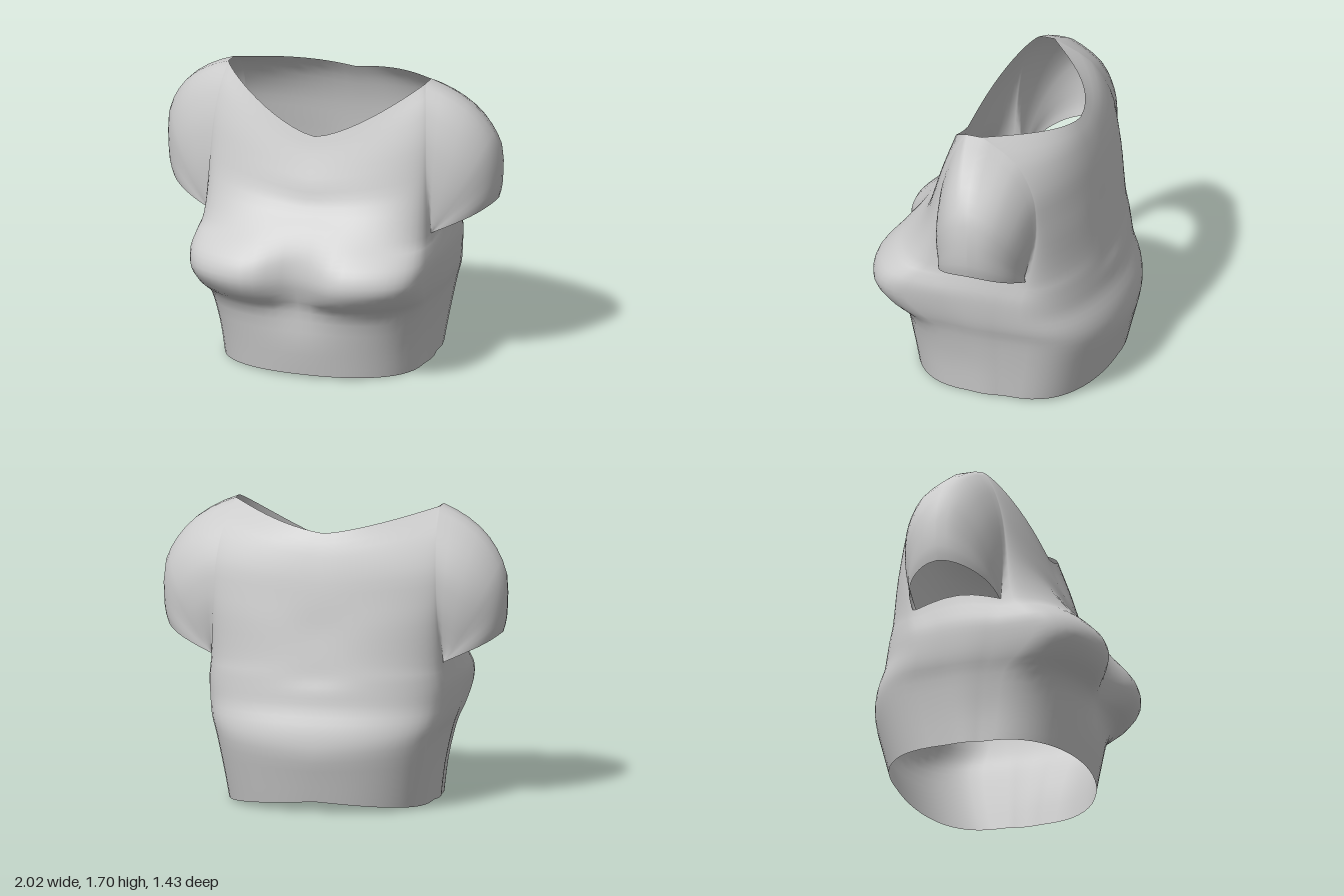
import * as THREE from 'three';
import { mergeVertices } from 'three/addons/utils/BufferGeometryUtils.js';

// Section keys, hem to neckline: centre y, centre z, edge x, edge y, edge z, roundness, cleft depth
const FRONT = [
  [0.02, 0.52, 0.59, 0.005, 0.05, 0.8, 0],
  [0.22, 0.555, 0.61, 0.2, 0.07, 0.78, 0],
  [0.41, 0.595, 0.65, 0.4, 0.1, 0.72, 0.035],
  [0.5, 0.705, 0.68, 0.5, 0.14, 0.56, 0.12],
  [0.6, 0.75, 0.7, 0.6, 0.17, 0.42, 0.14],
  [0.7, 0.725, 0.71, 0.7, 0.19, 0.46, 0.12],
  [0.79, 0.65, 0.695, 0.78, 0.2, 0.58, 0.07],
  [0.89, 0.555, 0.68, 0.85, 0.2, 0.75, 0.035],
  [1.0, 0.43, 0.665, 1.08, 0.215, 1.1, 0.01],
  [1.12, 0.38, 0.655, 1.25, 0.21, 1.4, 0],
  [1.22, 0.34, 0.645, 1.42, 0.185, 1.6, 0],
  [1.31, 0.305, 0.625, 1.59, 0.13, 1.7, 0],
  [1.385, 0.28, 0.6, 1.705, 0.06, 1.5, 0],
];
const BACK = [
  [0.065, -0.64, 0.59, 0.012, -0.15, 0.7, 0],
  [0.2, -0.675, 0.615, 0.2, -0.16, 0.62, 0],
  [0.35, -0.71, 0.65, 0.4, -0.17, 0.58, 0],
  [0.48, -0.695, 0.68, 0.5, -0.18, 0.62, 0],
  [0.6, -0.65, 0.695, 0.6, -0.2, 0.7, 0],
  [0.7, -0.63, 0.7, 0.7, -0.23, 0.78, 0],
  [0.78, -0.615, 0.69, 0.78, -0.27, 0.86, 0.01],
  [0.89, -0.595, 0.68, 0.85, -0.31, 1, 0.01],
  [1.05, -0.565, 0.665, 1.08, -0.37, 1.3, 0.01],
  [1.2, -0.535, 0.655, 1.25, -0.38, 1.6, 0],
  [1.36, -0.505, 0.645, 1.42, -0.35, 1.8, 0],
  [1.5, -0.46, 0.625, 1.59, -0.24, 2, 0],
  [1.59, -0.41, 0.6, 1.705, -0.03, 2.2, 0],
];
const SUB = 3;                 // rows per key
const ARMPIT = 7 * SUB;        // row where the armholes begin
const TOP = (FRONT.length - 1) * SUB;
const ACROSS = 28, SIDE = 6, SLEEVE = 12;

// Catmull-Rom interpolation of whole key rows
function sampleRows(keys) {
  const rows = [];
  for (let r = 0; r <= TOP; r++) {
    const k = Math.min(Math.floor(r / SUB), keys.length - 2), t = r / SUB - k;
    const at = (i) => keys[Math.max(0, Math.min(keys.length - 1, i))];
    rows.push(keys[0].map((_, c) => {
      const a = at(k - 1)[c], b = at(k)[c], d = at(k + 1)[c], e = at(k + 2)[c];
      return b + 0.5 * t * (d - a + t * (2 * a - 5 * b + 4 * d - e + t * (3 * (b - d) + e - a)));
    }));
  }
  return rows;
}

// Point on a front or back panel, s running from -1 to 1 across; sag shapes the neckline
function panelPoint([cy, cz, ex, ey, ez, p, cleft], s, sag) {
  const a = s * Math.PI / 2, sn = Math.sin(a), x = ex * sn;
  const round = Math.abs(s) === 1 ? 0 : Math.pow(Math.cos(a), p);
  const dip = round === 0 ? 0 : cleft * Math.exp(-((x / 0.18) ** 2)) * Math.sign(cz);
  return [x, cy + (ey - cy) * Math.pow(Math.abs(sn), sag), ez + (cz - ez) * round - dip];
}

const edgePoint = (row) => [row[2], row[3], row[4]];
const mix = (a, b, t) => a.map((v, i) => v + (b[i] - v) * t);

// Adds a grid of points as counter-clockwise triangles
function addGrid(out, grid) {
  for (let i = 0; i < grid.length - 1; i++) {
    for (let j = 0; j < grid[i].length - 1; j++) {
      const a = grid[i][j], b = grid[i][j + 1], c = grid[i + 1][j + 1], d = grid[i + 1][j];
      out.push(...a, ...b, ...c, ...a, ...c, ...d);
    }
  }
}

const mirrored = (grid) => grid.map((row) => row.map(([x, y, z]) => [-x, y, z]).reverse());

// Shoulder outline: angle in degrees around the armpit, and its radius
const OUTLINE = [[95.3, 0.859], [86, 0.8], [76, 0.735], [67, 0.665], [58, 0.595], [45, 0.46], [34, 0.385], [26, 0.335]];

// Short sleeve: the armhole arch swung outward and down around the armpit
function sleeveGrid(front, back) {
  const arch = [];
  for (let r = ARMPIT; r <= TOP; r++) arch.push([...edgePoint(front[r]), 1]);
  for (let r = TOP; r >= ARMPIT; r--) arch.push([...edgePoint(back[r]), -1]);
  const [px, py] = arch[0];
  const rTop = OUTLINE[0][1];
  const grid = [];
  for (let k = SLEEVE; k >= 0; k--) {
    const u = k / SLEEVE, f = u * (OUTLINE.length - 1);
    const n = Math.min(Math.floor(f), OUTLINE.length - 2);
    const [deg, radius] = mix(OUTLINE[n], OUTLINE[n + 1], f - n);
    const swing = (deg - OUTLINE[0][0]) * Math.PI / 180;
    const blend = Math.min(1, u * 1.5);
    grid.push(arch.map(([x, y, z, side]) => {
      if (k === 0) return [x, y, z];
      const r = Math.hypot(x - px, y - py), angle = Math.atan2(y - py, x - px) + swing;
      const q = Math.min(1, r / rTop), rr = r * radius / rTop;
      const rounded = -0.07 - 0.02 * q + side * 0.26 * Math.pow(1 - q * q, 0.55);
      return [px + rr * Math.cos(angle), py + rr * Math.sin(angle), z + (rounded - z) * blend];
    }));
  }
  return grid;
}

export function createModel() {
  const group = new THREE.Group();
  group.name = 'shirt';
  const cloth = new THREE.MeshStandardMaterial({ color: 0xcccccc, side: THREE.DoubleSide });
  cloth.name = 'light grey cloth';

  const front = sampleRows(FRONT), back = sampleRows(BACK);
  const across = Array.from({ length: ACROSS + 1 }, (_, j) => -1 + 2 * j / ACROSS);
  const triangles = [];

  // Front and back panels, hem to neckline
  addGrid(triangles, front.map((row) => across.map((s) => panelPoint(row, s, 1.4))));
  addGrid(triangles, back.map((row) => across.map((s) => panelPoint(row, -s, 1.15))));

  // Side panels below the armholes, rising slightly under the arm
  const side = [];
  for (let r = 0; r <= ARMPIT; r++) {
    side.push(Array.from({ length: SIDE + 1 }, (_, j) => {
      const t = j / SIDE, bulge = Math.sin(Math.PI * t);
      const [x, y, z] = mix(edgePoint(front[r]), edgePoint(back[r]), t);
      return [x + 0.012 * bulge, y + 0.05 * bulge * (r / ARMPIT) ** 4, z];
    }));
  }
  const sleeve = sleeveGrid(front, back);
  for (const grid of [side, sleeve]) {
    addGrid(triangles, grid);
    addGrid(triangles, mirrored(grid));
  }

  // One welded cloth surface with smooth normals
  let geometry = new THREE.BufferGeometry();
  geometry.setAttribute('position', new THREE.Float32BufferAttribute(triangles, 3));
  geometry = mergeVertices(geometry, 1e-4);
  geometry.computeVertexNormals();
  const shirt = new THREE.Mesh(geometry, cloth);
  shirt.name = 'shirtBodyAndSleeves';
  group.add(shirt);
  return group;
}
